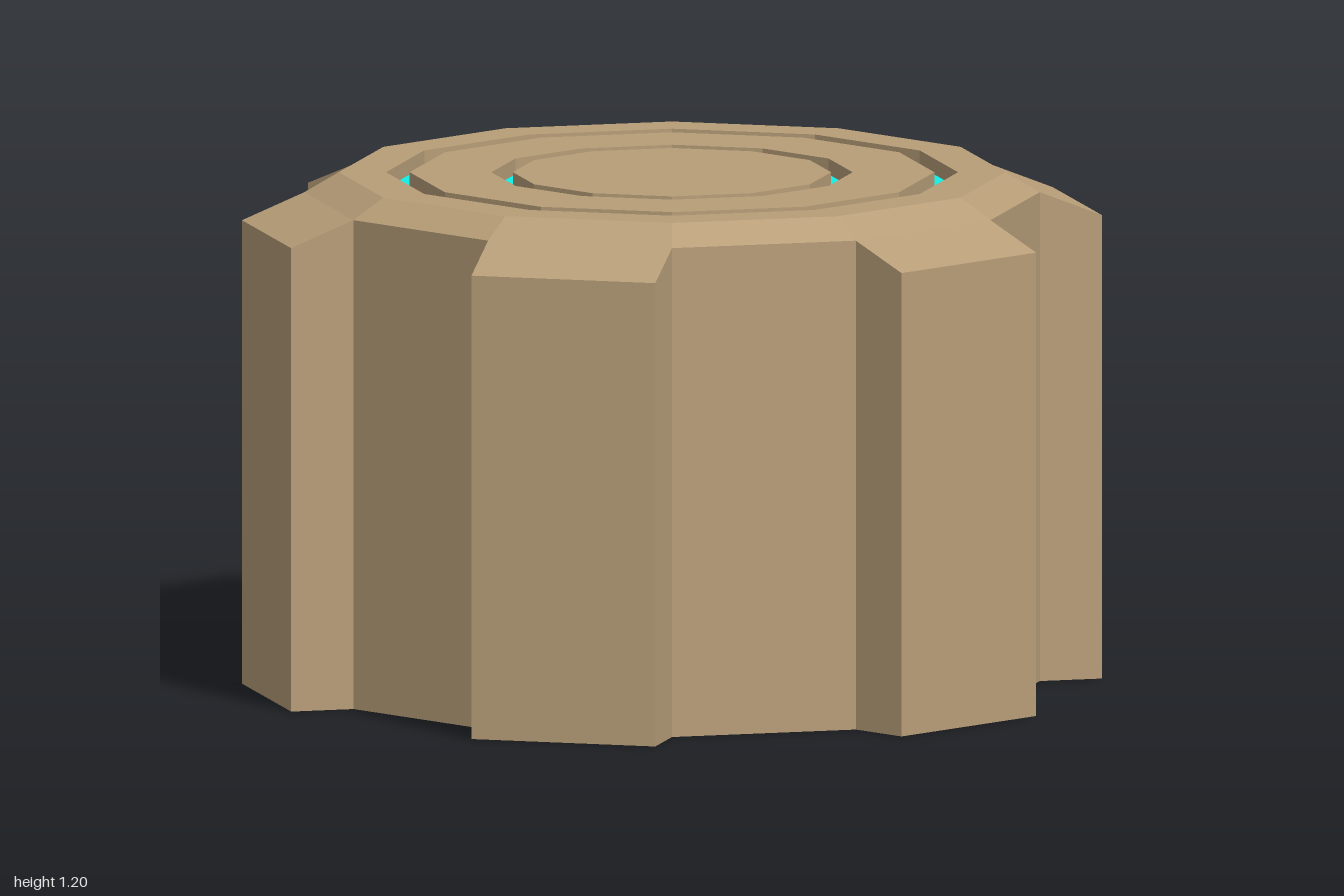
import * as THREE from 'three';

const SIDES = 12;
const R = 0.855;                                   // corner radius of the body
const APOTHEM = R * Math.cos(Math.PI / SIDES);     // distance to a flat side
const EDGE = 2 * R * Math.sin(Math.PI / SIDES);    // width of a flat side
const SHOULDER = 1.15, TOP = 1.197, FLOOR = 1.16;

export function createModel() {
  const model = new THREE.Group();
  model.name = 'ribbedDrum';
  const tan = new THREE.MeshStandardMaterial({ color: 0xb89e78, flatShading: true });
  const cyan = new THREE.MeshStandardMaterial({ color: 0x11f0e8, flatShading: true });

  // Twelve-sided turned part from [radius, height] pairs
  const turned = (name, profile, material) => {
    const points = profile.map(([r, y]) => new THREE.Vector2(r, y));
    const mesh = new THREE.Mesh(new THREE.LatheGeometry(points, SIDES), material);
    mesh.name = name;
    model.add(mesh);
  };

  // Body with chamfered rim, then the raised lands between the grooves
  turned('body', [[0, 0], [R, 0], [R, SHOULDER], [0.775, TOP], [0.665, TOP], [0.665, FLOOR]], tan);
  turned('outerGroove', [[0.665, FLOOR], [0.61, FLOOR]], cyan);
  turned('ringLand', [[0.61, FLOOR], [0.61, TOP], [0.42, TOP], [0.42, FLOOR]], tan);
  turned('innerGroove', [[0.42, FLOOR], [0.37, FLOOR]], cyan);
  turned('centreCap', [[0.37, FLOOR], [0.37, TOP], [0, TOP]], tan);

  // Rib: a box on one flat side, its top sloping down outwards
  const depth = 0.15, outerTop = 1.09;
  const rib = new THREE.BoxGeometry(depth, SHOULDER, EDGE);
  rib.translate(APOTHEM + depth / 2, SHOULDER / 2, 0);
  const pos = rib.attributes.position;
  for (let i = 0; i < pos.count; i++) {
    if (pos.getY(i) > 1 && pos.getX(i) > APOTHEM + depth / 2) pos.setY(i, outerTop);
  }
  rib.computeVertexNormals();

  // Ribs on every second side
  for (let i = 0; i < 6; i++) {
    const mesh = new THREE.Mesh(rib, tan);
    mesh.name = 'rib' + (i + 1);
    mesh.rotation.y = -(Math.PI / 12 + i * Math.PI / 3);
    model.add(mesh);
  }
  return model;
}
